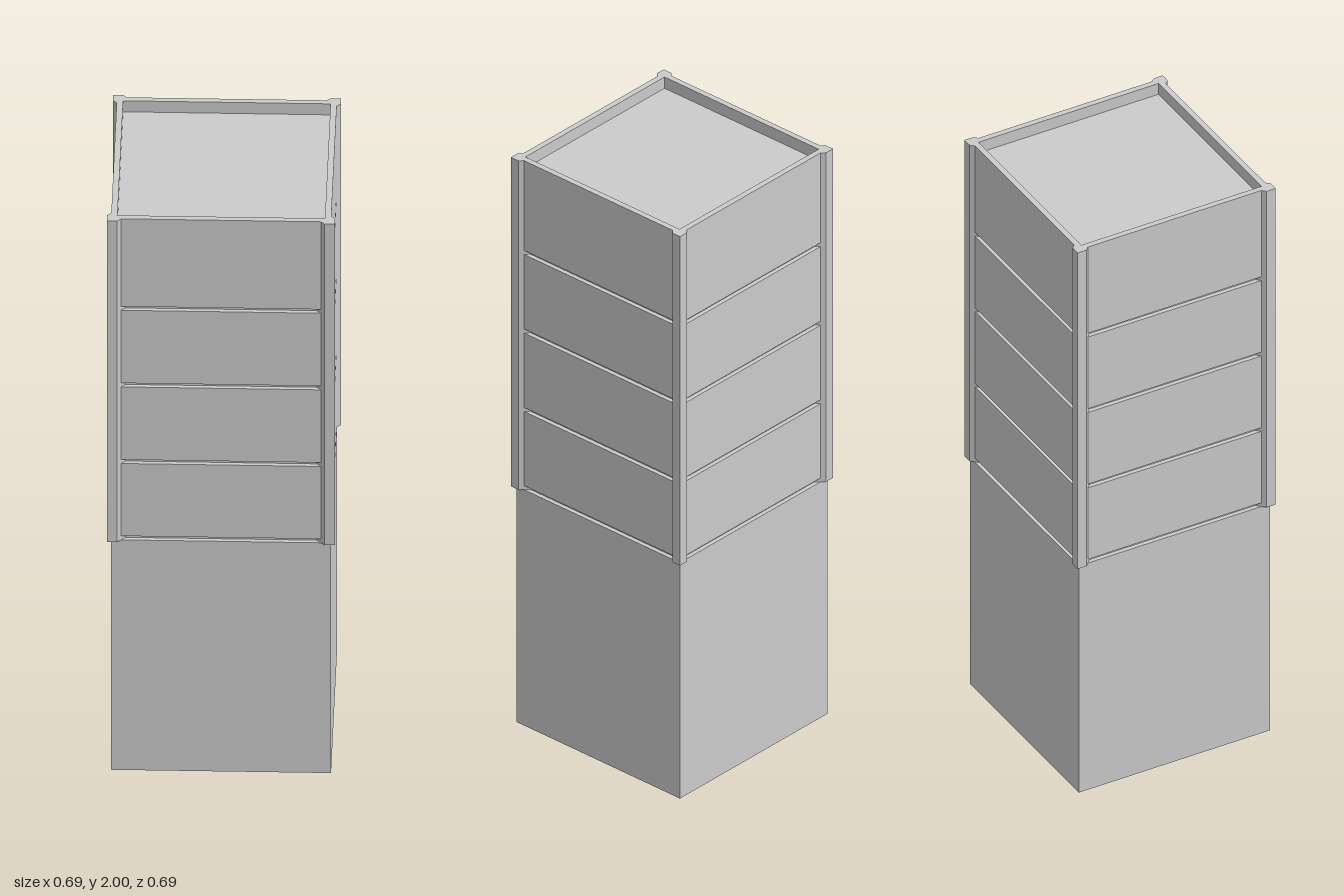
import * as THREE from 'three';

const HALF = 0.333;    // half width of the shaft
const INNER = 0.314;   // half width of the roof recess
const TOP = 2;
const POST_BASE = 0.835;
const GROOVE = 0.014;  // groove height and depth
const GROOVES = [POST_BASE, 1.112, 1.39, 1.668];

export function createModel() {
  const group = new THREE.Group();
  const material = new THREE.MeshStandardMaterial({ color: 0xcccccc, flatShading: true });

  // Square tower shaft: half-width/height profile swept around four sides
  const profile = [[0, 0], [HALF, 0]];
  for (const y of GROOVES) {
    profile.push([HALF, y], [HALF - GROOVE, y], [HALF - GROOVE, y + GROOVE], [HALF, y + GROOVE]);
  }
  // Parapet rim and sunken roof
  profile.push([HALF, TOP], [INNER, TOP], [INNER, TOP - 0.04], [0, TOP - 0.04]);
  const points = profile.map(([w, y]) => new THREE.Vector2(w * Math.SQRT2, y));
  const shaft = new THREE.Mesh(new THREE.LatheGeometry(points, 4, Math.PI / 4), material);
  shaft.name = 'towerShaft';
  group.add(shaft);

  // Corner posts: bevelled angle section that also closes the groove ends
  const d = HALF - GROOVE;
  const section = new THREE.Shape([
    [d, d], [d, 0.289], [0.345, 0.314], [0.345, 0.345], [0.314, 0.345], [0.289, d],
  ].map(([x, y]) => new THREE.Vector2(x, y)));
  const postGeometry = new THREE.ExtrudeGeometry(section, { depth: TOP - POST_BASE, bevelEnabled: false });
  postGeometry.rotateX(-Math.PI / 2);
  postGeometry.translate(0, POST_BASE, 0);
  const names = ['backLeftPost', 'backRightPost', 'frontRightPost', 'frontLeftPost'];
  names.forEach((name, i) => {
    const post = new THREE.Mesh(postGeometry, material);
    post.rotation.y = i * Math.PI / 2;
    post.name = name;
    group.add(post);
  });

  return group;
}
